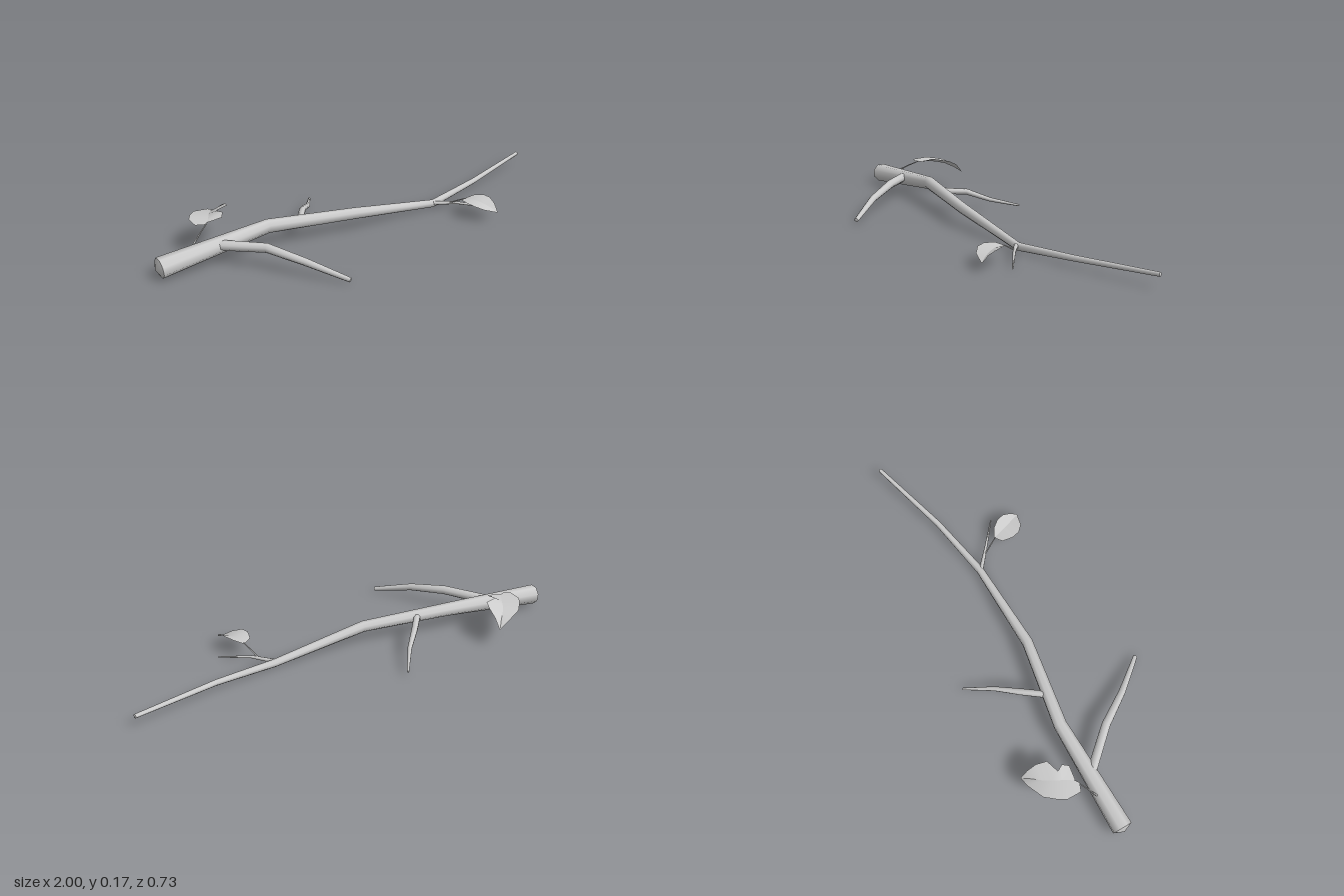
import * as THREE from 'three';

const material = new THREE.MeshStandardMaterial({ color: 0xcccccc });
const leafMaterial = new THREE.MeshStandardMaterial({ color: 0xcccccc, side: THREE.DoubleSide });

function meshFrom(name, positions, index, mat) {
  const geometry = new THREE.BufferGeometry();
  geometry.setAttribute('position', new THREE.Float32BufferAttribute(positions, 3));
  geometry.setIndex(index);
  geometry.computeVertexNormals();
  const mesh = new THREE.Mesh(geometry, mat);
  mesh.name = name;
  return mesh;
}

// Tapered limb through stations [x, y, z, radius], with a blunt point at both ends
function limb(name, stations, sides = 8) {
  const pts = stations.map(s => new THREE.Vector3(s[0], s[1], s[2]));
  const positions = [], index = [], last = pts.length - 1;
  const up = new THREE.Vector3(0, 1, 0);
  pts.forEach((p, i) => {
    const dir = new THREE.Vector3();
    if (i > 0) dir.add(p.clone().sub(pts[i - 1]).normalize());
    if (i < last) dir.add(pts[i + 1].clone().sub(p).normalize());
    dir.normalize();
    const u = new THREE.Vector3().crossVectors(dir, up).normalize();
    const v = new THREE.Vector3().crossVectors(dir, u);
    for (let k = 0; k < sides; k++) {
      const a = (k + 0.5) / sides * Math.PI * 2;
      const q = p.clone().addScaledVector(u, Math.cos(a) * stations[i][3])
        .addScaledVector(v, Math.sin(a) * stations[i][3]);
      positions.push(q.x, q.y, q.z);
      if (i < last) {
        const n = (k + 1) % sides, r = i * sides;
        index.push(r + k, r + n, r + sides + k, r + n, r + sides + n, r + sides + k);
      }
    }
  });
  // separate cap rings keep the end edges sharp
  for (const [end, inner] of [[0, 1], [last, last - 1]]) {
    const base = positions.length / 3;
    positions.push(...positions.slice(end * sides * 3, (end + 1) * sides * 3));
    const out = pts[end].clone().sub(pts[inner]).setLength(stations[end][3] * 0.42);
    const apex = pts[end].clone().add(out);
    positions.push(apex.x, apex.y, apex.z);
    for (let k = 0; k < sides; k++) {
      const a = base + k, b = base + (k + 1) % sides;
      index.push(base + sides, ...(end ? [a, b] : [b, a]));
    }
  }
  return meshFrom(name, positions, index, material);
}

// Leaf blade from rows of left edge, midrib and right edge points, creased at the midrib
function leaf(name, rows) {
  const positions = [], index = [];
  for (const j of [0, 1]) {
    const base = positions.length / 3;
    rows.forEach((row, i) => {
      positions.push(...row[j], ...row[j + 1]);
      const a = base + i * 2;
      if (i < rows.length - 1) index.push(a, a + 1, a + 2, a + 1, a + 3, a + 2);
    });
  }
  return meshFrom(name, positions, index, leafMaterial);
}

export function createModel() {
  const group = new THREE.Group();
  group.name = 'fallenBranch';

  // Main stem, thick at the broken end
  group.add(limb('mainStem', [
    [-0.981, 0.055, -0.107, 0.045], [-0.49, 0.102, -0.1, 0.03],
    [-0.1, 0.083, -0.022, 0.025], [0.33, 0.018, -0.012, 0.0175],
    [0.62, 0.04, -0.062, 0.013], [0.994, 0.063, -0.16, 0.009],
  ]));

  // Side twigs
  group.add(limb('frontTwig', [
    [-0.73, 0.085, -0.1, 0.022], [-0.59, 0.098, 0.065, 0.02],
    [-0.5, 0.069, 0.21, 0.016], [-0.387, 0.018, 0.36, 0.01],
  ]));
  group.add(limb('backTwig', [
    [-0.35, 0.098, -0.075, 0.015], [-0.275, 0.095, -0.17, 0.014],
    [-0.2, 0.062, -0.25, 0.01], [-0.121, 0.033, -0.364, 0.005],
  ]));
  group.add(limb('tipTwig', [
    [0.32, 0.022, -0.012, 0.011], [0.405, 0.03, 0.065, 0.007], [0.52, 0.011, 0.16, 0.003],
  ], 6));

  // Leaf stalks
  group.add(limb('backLeafStalk', [
    [-0.82, 0.1, -0.13, 0.004], [-0.775, 0.128, -0.155, 0.003], [-0.726, 0.154, -0.182, 0.002],
  ], 5));
  group.add(limb('frontLeafStalk', [
    [0.38, 0.028, 0.045, 0.004], [0.395, 0.05, 0.083, 0.003], [0.412, 0.071, 0.122, 0.002],
  ], 5));

  // Drooping leaf blades
  group.add(leaf('backLeaf', [
    [[-0.745, 0.153, -0.17], [-0.73, 0.154, -0.18], [-0.665, 0.163, -0.17]],
    [[-0.78, 0.154, -0.185], [-0.715, 0.155, -0.2], [-0.647, 0.174, -0.195]],
    [[-0.777, 0.156, -0.25], [-0.698, 0.154, -0.228], [-0.662, 0.173, -0.223]],
    [[-0.755, 0.155, -0.285], [-0.68, 0.151, -0.26], [-0.604, 0.176, -0.24]],
    [[-0.717, 0.147, -0.327], [-0.655, 0.143, -0.295], [-0.59, 0.165, -0.285]],
    [[-0.64, 0.126, -0.356], [-0.622, 0.125, -0.33], [-0.59, 0.143, -0.325]],
    [[-0.597, 0.1, -0.36], [-0.595, 0.1, -0.36], [-0.593, 0.102, -0.358]],
  ]));
  group.add(leaf('frontLeaf', [
    [[0.408, 0.07, 0.118], [0.412, 0.07, 0.118], [0.418, 0.071, 0.118]],
    [[0.375, 0.077, 0.138], [0.417, 0.074, 0.14], [0.45, 0.085, 0.138]],
    [[0.365, 0.082, 0.185], [0.427, 0.077, 0.177], [0.473, 0.092, 0.17]],
    [[0.375, 0.077, 0.225], [0.439, 0.071, 0.21], [0.483, 0.088, 0.205]],
    [[0.408, 0.062, 0.256], [0.454, 0.06, 0.243], [0.478, 0.072, 0.243]],
    [[0.466, 0.042, 0.272], [0.47, 0.042, 0.273], [0.472, 0.043, 0.272]],
  ]));
  // rest the lowest point on the ground
  group.position.y = -new THREE.Box3().setFromObject(group).min.y;
  return group;
}
